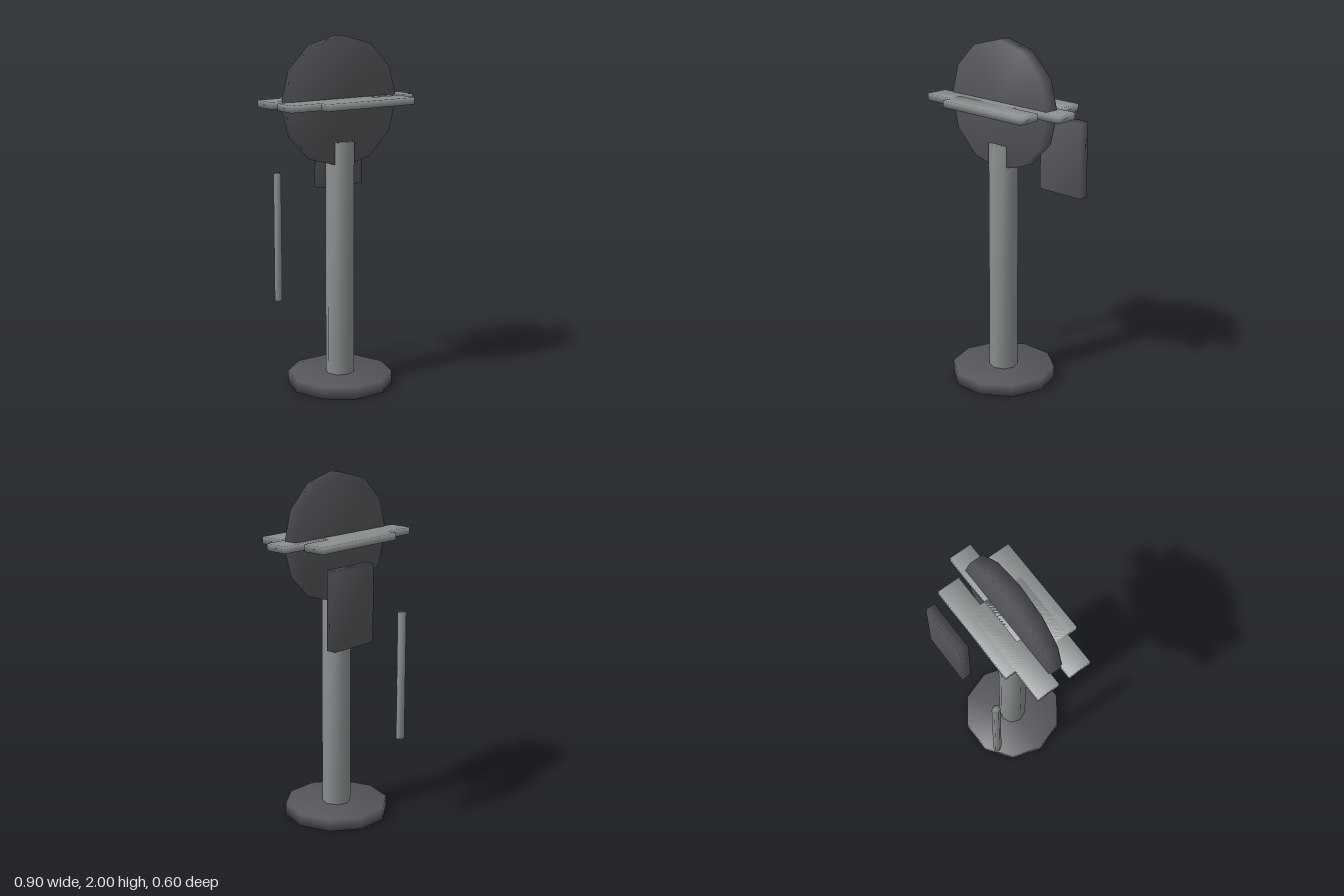
import * as THREE from 'three';
import { mergeVertices } from 'three/addons/utils/BufferGeometryUtils.js';

const dark = new THREE.MeshStandardMaterial({ color: 0x55555a });
const light = new THREE.MeshStandardMaterial({ color: 0x8a8f8f });

// Share corners so that shading runs smoothly over every edge
function smooth(geometry) {
  geometry.deleteAttribute('uv');
  geometry.deleteAttribute('normal');
  const merged = mergeVertices(geometry, 1e-4);
  merged.computeVertexNormals();
  return merged;
}

export function createModel() {
  const group = new THREE.Group();
  const cx = -0.018, cz = 0.013;

  const add = (name, geometry, material, x, y, z, parent = group) => {
    const mesh = new THREE.Mesh(smooth(geometry), material);
    mesh.name = name;
    mesh.position.set(x, y, z);
    parent.add(mesh);
  };
  // Upright prism with a corner pointing along +x
  const prism = (r, h, sides) => new THREE.CylinderGeometry(r, r, h, sides).rotateY(Math.PI / 2);

  // Foot and column
  add('base', prism(0.3, 0.07, 10), dark, cx, 0.035, cz);
  add('post', prism(0.082, 1.345, 8), light, cx, 0.7425, cz);

  // Upright disc on the column
  const disc = new THREE.CylinderGeometry(0.363, 0.363, 0.085, 12).rotateX(Math.PI / 2);
  add('disc', disc, dark, cx, 1.637, cz);

  // Five parallel bars spaced evenly around a ring
  const bars = new THREE.Group();
  bars.name = 'bars';
  group.add(bars);
  for (let i = 0; i < 5; i++) {
    const a = (i * Math.PI * 2) / 5;
    add('bar', new THREE.BoxGeometry(0.588, 0.04, 0.134), light,
      cx + 0.17 * Math.cos(a), 1.637, cz + 0.17 * Math.sin(a), bars);
  }

  // Separate panel and rod behind the column
  add('panel', new THREE.BoxGeometry(0.303, 0.438, 0.057), dark, 0.176, 1.322, -0.274);
  add('rod', prism(0.0245, 0.75, 6), light, -0.251, 0.84, -0.274);

  return group;
}
